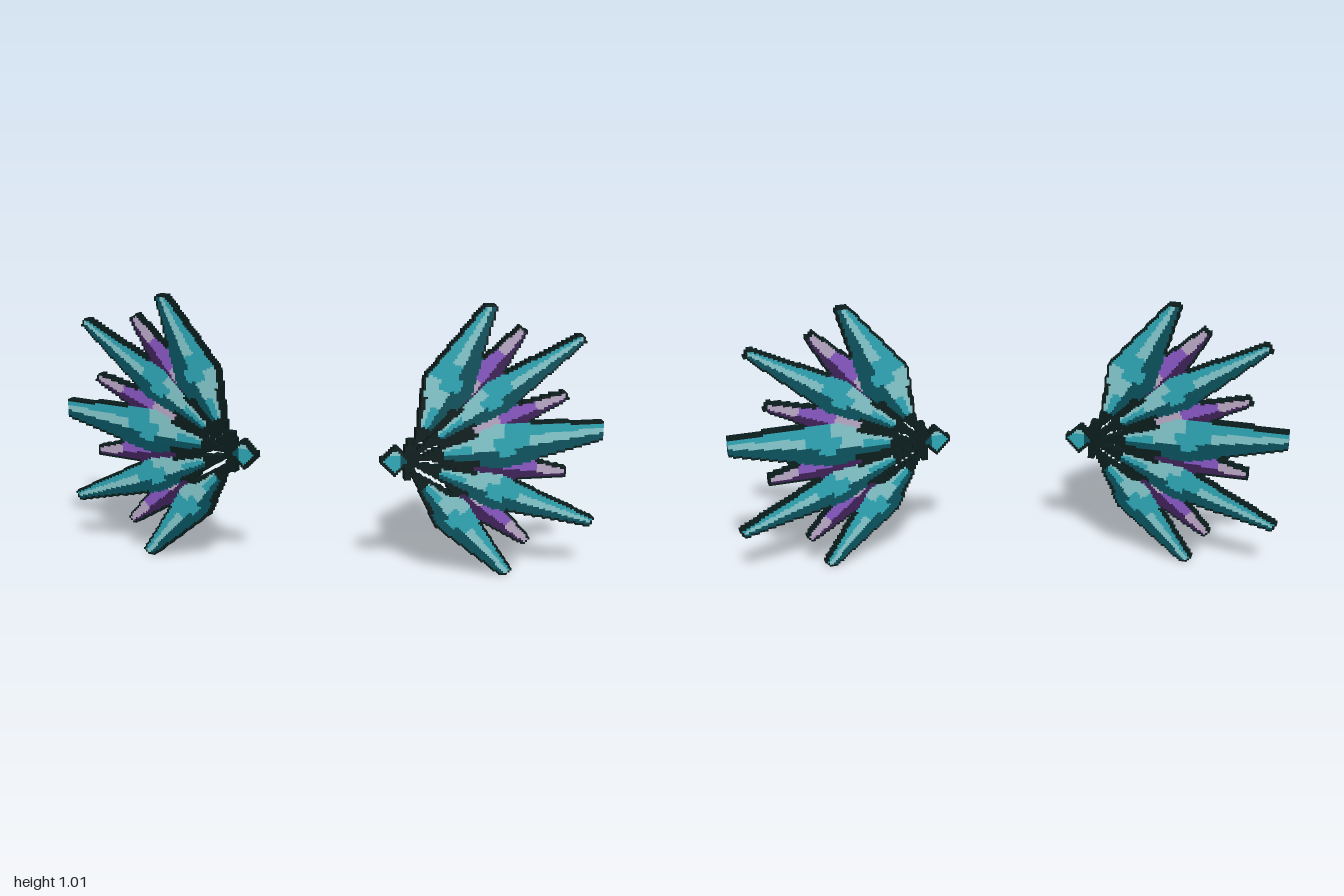
import * as THREE from 'three';

const mat = (name, color) => new THREE.MeshStandardMaterial({ name, color });
const MATS = {
  outline: mat('near black outline', 0x0a1c1c),
  lightTeal: mat('light teal', 0x86cbd0),
  teal: mat('teal', 0x2fa9b8),
  darkTeal: mat('dark teal', 0x08525e),
  pale: mat('pale lilac', 0xbcaac8),
  purple: mat('purple', 0x8a58c6),
  darkPurple: mat('dark purple', 0x3e2058),
};

// Each wing is a slab of small square cells, tilted back about y
const COLS = 104, ROWS = 129, CELL = 0.812 / COLS, DEPTH = 0.035;
const TILT = 0.304, CENTRE = 0.6075;

// Crystals: root, tip, widest half width, tip half width, position of the widest point
const CRYSTALS = [
  ['upperShard', [0.42, 0.56], [0.70, 0.917], 0.056, 0.018, 0.5, 'purple'],
  ['upperMiddleShard', [0.42, 0.50], [0.86, 0.672], 0.05, 0.016, 0.5, 'purple'],
  ['lowerMiddleShard', [0.42, 0.45], [0.87, 0.385], 0.052, 0.016, 0.5, 'purple'],
  ['lowerShard', [0.42, 0.41], [0.74, 0.125], 0.052, 0.016, 0.5, 'purple'],
  ['topBlade', [0.35, 0.53], [0.59, 1.01], 0.09, 0.02, 0.39, 'teal'],
  ['bottomBlade', [0.345, 0.39], [0.675, 0.003], 0.07, 0.02, 0.37, 'teal'],
  ['upperBlade', [0.37, 0.505], [0.91, 0.88], 0.066, 0.018, 0.46, 'teal'],
  ['lowerBlade', [0.37, 0.425], [0.972, 0.187], 0.066, 0.018, 0.42, 'teal'],
  ['middleBlade', [0.375, 0.465], [1.03, 0.54], 0.086, 0.03, 0.4, 'teal'],
];

// Facet colour at t along the crystal and s across it (s = 1 is the upper side)
function facetColour(kind, t, s) {
  if (kind === 'purple') {
    if (t < 0.28) return 'outline';
    if (t > 0.76) return s > -0.35 ? 'pale' : 'darkPurple';
    if (s > -0.15) return t < 0.48 ? 'pale' : 'purple';
    return 'darkPurple';
  }
  if (t < 0.09 || (t < 0.28 && Math.abs(s) > 0.7)) return 'outline';
  if (s > 0.35) return t < 0.42 ? 'lightTeal' : 'teal';
  if (s > -0.2) return t < 0.24 ? 'teal' : t < 0.36 ? 'lightTeal' : t < 0.55 ? 'teal' : 'lightTeal';
  return t > 0.38 && t < 0.47 && s > -0.5 ? 'teal' : 'darkTeal';
}

// Paint every part into a grid of cells
function paintCells() {
  const grid = Array.from({ length: ROWS }, () => new Array(COLS).fill(null));
  const paint = (part, pick) => {
    for (let j = 0; j < ROWS; j++) {
      for (let i = 0; i < COLS; i++) {
        const x = CENTRE + (i + 0.5 - COLS / 2) * CELL * Math.cos(TILT);
        const colour = pick(x, (j + 0.5) * CELL);
        if (colour) grid[j][i] = { part, colour };
      }
    }
  };
  const along = (x, y, a, b) => {
    const dx = b[0] - a[0], dy = b[1] - a[1], len = Math.hypot(dx, dy);
    const px = x - a[0], py = y - a[1];
    return [(px * dx + py * dy) / (len * len), (dx * py - dy * px) / len];
  };

  for (const [name, root, tip, wide, end, peak, kind] of CRYSTALS) {
    paint(name, (x, y) => {
      const [t, d] = along(x, y, root, tip);
      if (t < 0 || t > 1) return null;
      const w = t < peak
        ? THREE.MathUtils.lerp(0.012, wide, t / peak)
        : THREE.MathUtils.lerp(wide, end, (t - peak) / (1 - peak));
      return Math.abs(d) < w ? facetColour(kind, t, d / w) : null;
    });
  }

  // Thin dark spines joining the blades to the root gem
  const spines = [[0.35, 0.54], [0.38, 0.508], [0.39, 0.465], [0.38, 0.42], [0.345, 0.385], [0.315, 0.38], [0.32, 0.53]];
  for (const end of spines) {
    paint('rootSpines', (x, y) => {
      const [t, d] = along(x, y, [0.305, 0.457], end);
      return t >= 0 && t <= 1 && Math.abs(d) < 0.009 ? 'outline' : null;
    });
  }
  // Diamond gem
  paint('rootGem', (x, y) => {
    const r = Math.abs(x - 0.27) + Math.abs(y - 0.455);
    if (r > 0.056) return null;
    return r > 0.042 ? 'outline' : y > 0.475 ? 'lightTeal' : x > 0.285 ? 'darkTeal' : 'teal';
  });

  // Dark outline on the silhouette; the outer tip is cut off and keeps its colour
  const empty = (i, j) => i < COLS && !(grid[j] && grid[j][i]);
  return grid.map((row, j) => row.map((c, i) => {
    if (!c) return null;
    const rim = empty(i - 1, j) || empty(i + 1, j) || empty(i, j - 1) || empty(i, j + 1);
    return rim ? { part: c.part, colour: 'outline' } : c;
  }));
}

// Turn the grid into one mesh per part and colour
function buildWing(cells, name) {
  const wing = new THREE.Group();
  wing.name = name;
  const batches = new Map();
  const filled = (i, j) => Boolean(cells[j] && cells[j][i]);
  const h = DEPTH / 2;

  for (let j = 0; j < ROWS; j++) {
    const y0 = j * CELL, y1 = y0 + CELL;
    for (let i = 0; i < COLS;) {
      const c = cells[j][i];
      if (!c) { i++; continue; }
      let k = i + 1;
      while (k < COLS && cells[j][k] && cells[j][k].part === c.part && cells[j][k].colour === c.colour) k++;
      const key = c.part + '/' + c.colour;
      if (!batches.has(key)) batches.set(key, []);
      const out = batches.get(key);
      const quad = (a, b, d, e) => out.push(...a, ...b, ...d, ...a, ...d, ...e);
      const X = (n) => (n - COLS / 2) * CELL;
      const x0 = X(i), x1 = X(k);
      // front and back
      quad([x0, y0, h], [x1, y0, h], [x1, y1, h], [x0, y1, h]);
      quad([x1, y0, -h], [x0, y0, -h], [x0, y1, -h], [x1, y1, -h]);
      // exposed edges
      if (!filled(i - 1, j)) quad([x0, y0, -h], [x0, y0, h], [x0, y1, h], [x0, y1, -h]);
      if (!filled(k, j)) quad([x1, y0, h], [x1, y0, -h], [x1, y1, -h], [x1, y1, h]);
      for (let n = i; n < k; n++) {
        const a = X(n), b = X(n + 1);
        if (!filled(n, j + 1)) quad([a, y1, h], [b, y1, h], [b, y1, -h], [a, y1, -h]);
        if (!filled(n, j - 1)) quad([a, y0, -h], [b, y0, -h], [b, y0, h], [a, y0, h]);
      }
      i = k;
    }
  }

  for (const [key, positions] of batches) {
    const [part, colour] = key.split('/');
    const geometry = new THREE.BufferGeometry();
    geometry.setAttribute('position', new THREE.Float32BufferAttribute(positions, 3));
    geometry.computeVertexNormals();
    const mesh = new THREE.Mesh(geometry, MATS[colour]);
    mesh.name = part;
    wing.add(mesh);
  }
  return wing;
}

export function createModel() {
  const model = new THREE.Group();
  model.name = 'crystalWings';
  const cells = paintCells();
  const mirrored = cells.map((row) => [...row].reverse());
  for (const side of [1, -1]) {
    const wing = buildWing(side > 0 ? cells : mirrored, side > 0 ? 'leftWing' : 'rightWing');
    wing.position.x = side * CENTRE;
    wing.rotation.y = side * TILT;
    model.add(wing);
  }
  return model;
}
